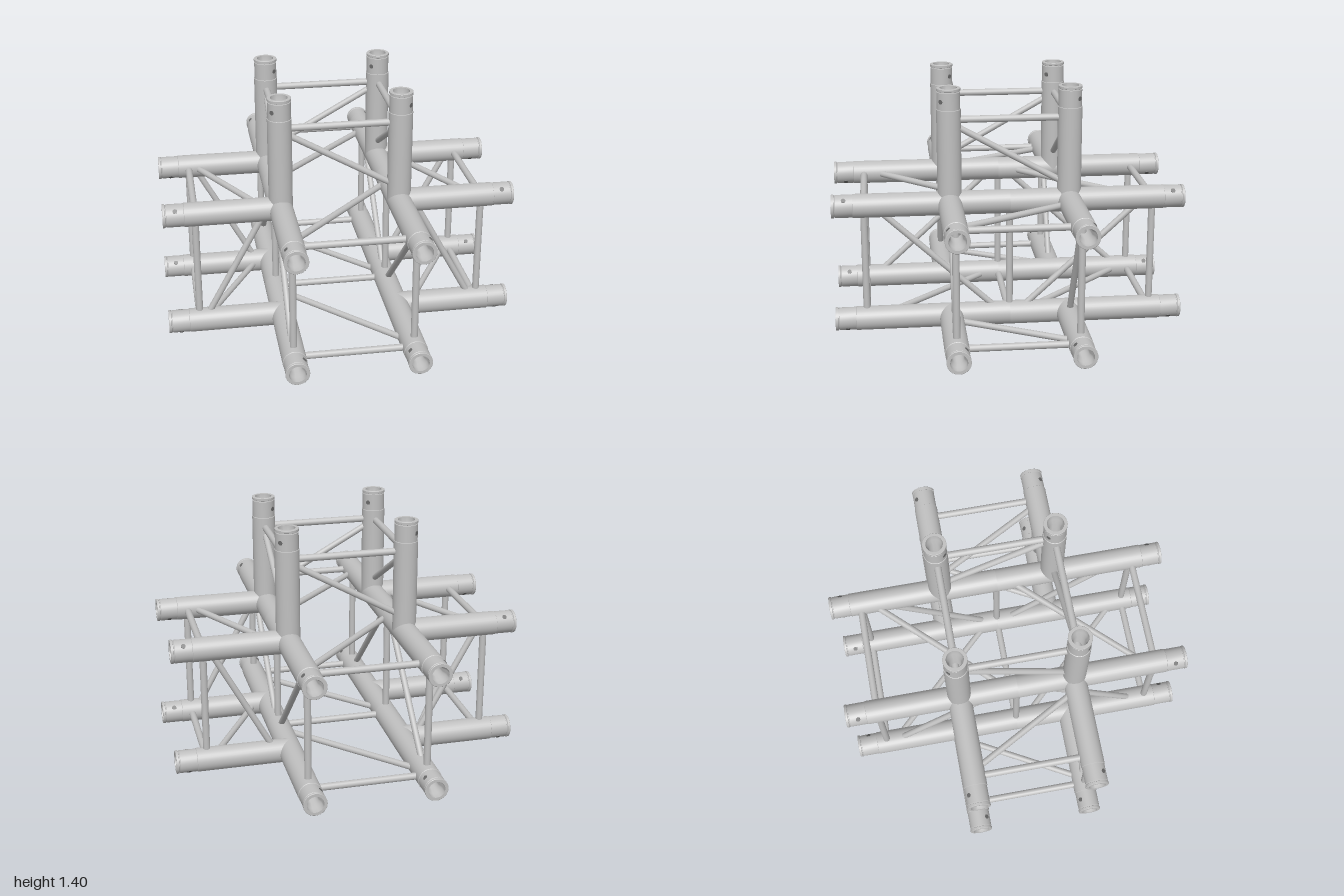
import * as THREE from 'three';
import { toCreasedNormals } from 'three/addons/utils/BufferGeometryUtils.js';

const A = 0.338;            // half spacing of the main tubes
const LOW = 0.068, HIGH = 0.744, TOP = 1.405;
const R = 0.068;            // main tube radius
const RUNG = 0.82;          // distance of the end rungs from the centre
const V = (x, y, z) => new THREE.Vector3(x, y, z);
const UP = V(0, 1, 0);

export function createModel() {
  const model = new THREE.Group();
  const aluminium = new THREE.MeshStandardMaterial({ color: 0xc0c0c0 });
  const holeGrey = new THREE.MeshStandardMaterial({ color: 0x6c6c6c });

  // Hollow tube with a turned-down coupler end and a tapered socket
  const tubeGeometry = (L) => toCreasedNormals(new THREE.LatheGeometry([
    [R, 0], [R, L - 0.12], [R - 0.003, L - 0.118], [R - 0.003, L - 0.022],
    [R - 0.006, L - 0.02], [R - 0.006, L - 0.016], [R - 0.001, L - 0.014],
    [R - 0.001, L - 0.002], [R - 0.003, L], [0.048, L], [0.046, L - 0.04],
    [0.034, L - 0.07], [0.034, 0],
  ].map(([r, y]) => new THREE.Vector2(r, y)), 32), 0.6);
  const holeGeometry = new THREE.CylinderGeometry(0.013, 0.013, 0.006, 16);

  // outward: diagonal direction of the pin hole
  function tube(name, base, dir, L, outward) {
    const group = new THREE.Group();
    group.name = name;
    const body = new THREE.Mesh(tubeGeometry(L), aluminium);
    body.name = 'tube';
    body.position.copy(base);
    body.quaternion.setFromUnitVectors(UP, dir);
    group.add(body);
    for (const s of [1, -1]) {
      const out = outward.clone().normalize().multiplyScalar(s);
      const hole = new THREE.Mesh(holeGeometry, holeGrey);
      hole.name = 'pinHole';
      hole.position.copy(base).addScaledVector(dir, L - 0.07).addScaledVector(out, R - 0.0045);
      hole.quaternion.setFromUnitVectors(UP, out);
      group.add(hole);
    }
    model.add(group);
  }

  // Thin round bar between two points
  function rod(name, a, b, r = 0.02) {
    const d = b.clone().sub(a);
    const mesh = new THREE.Mesh(new THREE.CylinderGeometry(r, r, d.length(), 16), aluminium);
    mesh.name = name;
    mesh.position.copy(a).add(b).multiplyScalar(0.5);
    mesh.quaternion.setFromUnitVectors(UP, d.normalize());
    model.add(mesh);
  }
  const brace = (a, b) => rod('diagonalBrace', a, b, 0.018);

  // Main tubes: lengthwise, sideways and upright arms
  for (const s of [1, -1]) for (const t of [1, -1]) {
    for (const y of [LOW, HIGH]) {
      const v = y === HIGH ? 1 : -1;
      tube('lengthwiseTube', V(s * A, y, 0), V(0, 0, t), 1, V(s, v, 0));
      tube('sideTube', V(s * A, y, t * A), V(s, 0, 0), 1 - A, V(0, v, t));
    }
    tube('uprightTube', V(s * A, HIGH, t * A), V(0, 1, 0), TOP - HIGH, V(s, 0, t));
  }

  for (const s of [1, -1]) {
    // Rungs across the arm ends
    for (const y of [LOW, HIGH]) {
      rod('endRung', V(-A, y, s * RUNG), V(A, y, s * RUNG));
      rod('endRung', V(s * RUNG, y, -A), V(s * RUNG, y, A));
    }
    rod('upperRung', V(-A, 1.225, s * A), V(A, 1.225, s * A));
    rod('upperRung', V(s * A, 1.225, -A), V(s * A, 1.225, A));

    // Posts between lower and upper tubes
    for (const t of [1, -1]) {
      rod('post', V(s * RUNG, LOW, t * A), V(s * RUNG, HIGH, t * A));
      rod('post', V(s * A, LOW, t * RUNG), V(s * A, HIGH, t * RUNG));
    }
    rod('middlePost', V(s * A, LOW, 0), V(s * A, HIGH, 0));

    // Diagonals on the vertical faces of the arms
    for (const t of [1, -1]) {
      const [outZ, inZ] = s > 0 ? [HIGH, LOW] : [LOW, HIGH];
      brace(V(s * A, outZ, t * 0.77), V(s * A, inZ, t * 0.04));
      const [outX, inX] = t > 0 ? [LOW, HIGH] : [HIGH, LOW];
      brace(V(s * 0.79, outX, t * A), V(s * 0.42, inX, t * A));
    }

    // Diagonals on the top and bottom faces, crossing in opposite directions
    for (const [y, k] of [[HIGH, 1], [LOW, -1]]) {
      brace(V(-s * k * A, y, s * 0.77), V(s * k * A, y, s * 0.06));
      brace(V(s * 0.79, y, s * k * A), V(s * 0.42, y, -s * k * A));
    }

    // Diagonals around the upright arm, each falling the same way round
    brace(V(-s * A, 1.21, s * A), V(s * A, 0.83, s * A));
    brace(V(s * A, 1.21, s * A), V(s * A, 0.83, -s * A));
  }
  rod('middleRung', V(-A, LOW, 0), V(A, LOW, 0));

  return model;
}
